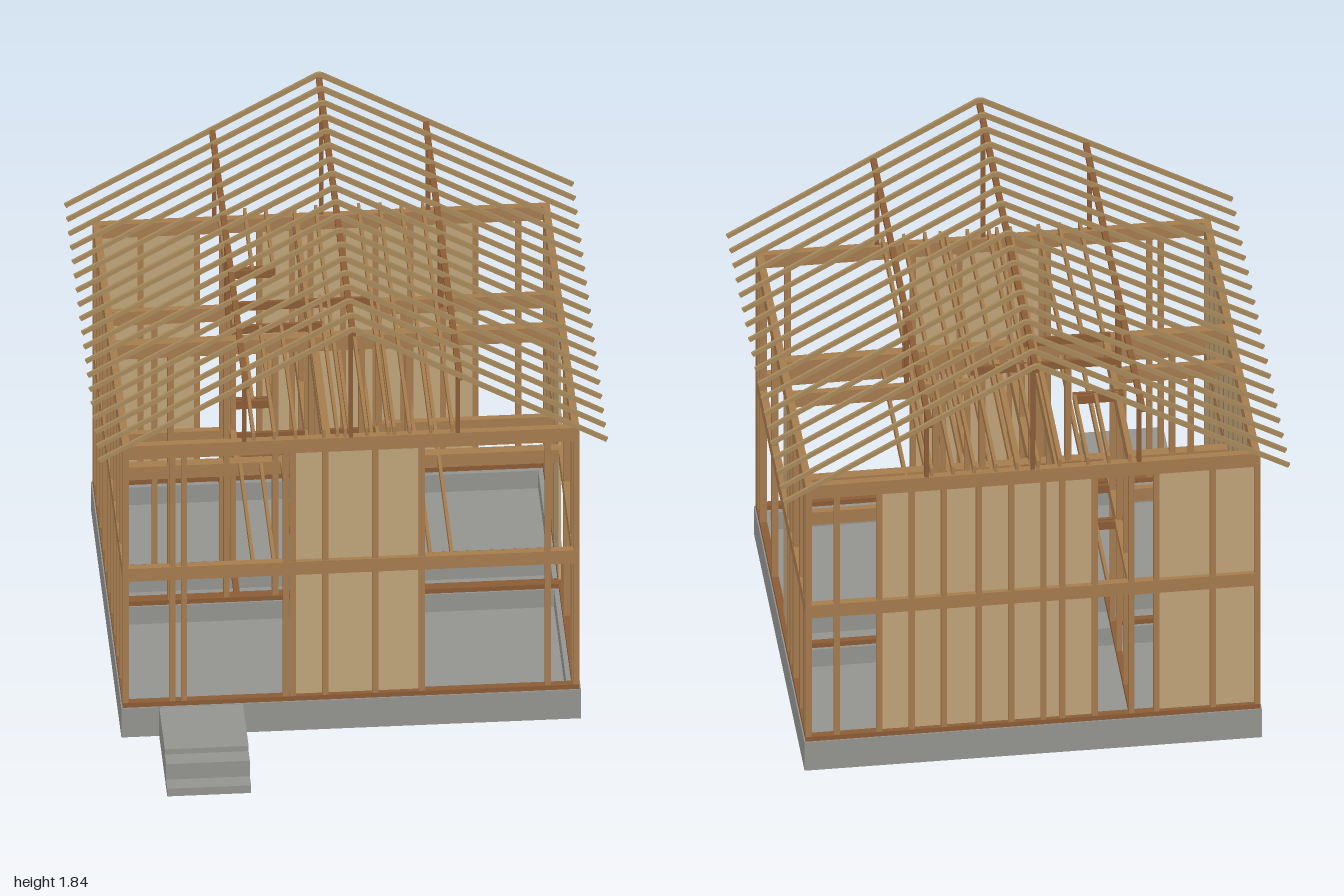
import * as THREE from 'three';

const mat = (color) => new THREE.MeshStandardMaterial({ color });
const concrete = mat(0x949490), wood = mat(0xa67c4e), dark = mat(0x8c5c36), sheet = mat(0xc0a47a), pale = mat(0xa88a5c);

// Levels of the frame
const BASE = 0.128, SILL = 0.148, MID = [0.688, 0.745], TOP = [1.23, 1.29];
// Outer faces of the walls, wall thickness and stud width
const X = 0.845, BACK = -0.895, FRONT = 0.595, T = 0.027, W = 0.022;

function box(parent, name, material, x0, x1, y0, y1, z0, z1) {
  const mesh = new THREE.Mesh(new THREE.BoxGeometry(x1 - x0, y1 - y0, z1 - z0), material);
  mesh.position.set((x0 + x1) / 2, (y0 + y1) / 2, (z0 + z1) / 2);
  mesh.name = name;
  parent.add(mesh);
  return mesh;
}

// A framed wall: runs along 'x' or 'z' from a to b, filling c..d across it.
// inner is the side (c or d) on which the sheathing lies.
function wall(parent, name, axis, a, b, c, d, inner, studs, panels, topPlate = true) {
  const group = new THREE.Group();
  group.name = name;
  parent.add(group);
  const part = (label, material, s0, s1, y0, y1, t0 = c, t1 = d) => axis === 'x'
    ? box(group, label, material, s0, s1, y0, y1, t0, t1)
    : box(group, label, material, t0, t1, y0, y1, s0, s1);
  part('sillPlate', dark, a, b, BASE, SILL);
  part('middleBeam', wood, a, b, ...MID);
  if (topPlate) part('topBeam', wood, a, b, ...TOP);
  for (const s of studs) {
    part('lowerStud', wood, s - W / 2, s + W / 2, SILL, MID[0], c + 0.001, d - 0.001);
    part('upperStud', wood, s - W / 2, s + W / 2, MID[1], TOP[0], c + 0.001, d - 0.001);
  }
  const t0 = inner === c ? c + 0.002 : d - 0.010;
  for (const [p0, p1] of panels) {
    part('lowerPanel', sheet, p0, p1, SILL, MID[0], t0, t0 + 0.008);
    part('upperPanel', sheet, p0, p1, MID[1], TOP[0], t0, t0 + 0.008);
  }
}

function foundation(root) {
  const g = new THREE.Group();
  g.name = 'foundation';
  root.add(g);
  box(g, 'floorSlab', concrete, -0.85, 0.85, 0, 0.05, -0.9, 0.6);
  for (const s of [-1, 1]) {
    box(g, 'sideFooting', concrete, s * 0.825 - 0.025, s * 0.825 + 0.025, 0.05, BASE, -0.9, 0.6);
  }
  for (const z of [-0.875, -0.3, -0.09, 0.575]) {
    box(g, 'crossFooting', concrete, -0.8, 0.8, 0.05, BASE, z - 0.025, z + 0.025);
  }
  // Entrance steps
  box(g, 'landing', concrete, -0.71, -0.4, 0, 0.126, 0.6, 0.876);
  box(g, 'middleStep', concrete, -0.71, -0.4, 0, 0.103, 0.876, 0.94);
  box(g, 'lowerStep', concrete, -0.71, -0.4, 0, 0.034, 0.94, 1.0);
}

function walls(root) {
  const f = FRONT - T, k = BACK + T, e = X - W / 2;
  wall(root, 'frontWall', 'x', -X, X, f, FRONT, f,
    [-e, -0.66, -0.617, -0.24, -0.215, -0.095, 0.09, 0.262, 0.728, e],
    [[-0.215, 0.262]]);
  wall(root, 'backWall', 'x', -X, X, BACK, k, k,
    [-e, -0.67, -0.46, -0.367, -0.23, -0.11, -0.04, 0.08, 0.2, 0.33, 0.45, 0.57, 0.728, e],
    [[-e, -0.455], [-0.23, 0.575]]);
  wall(root, 'leftHandWall', 'z', k, f, X - T, X, X - T,
    [k + 0.01, -0.82, -0.7, -0.51, -0.42, -0.335, 0.13, 0.478, f - 0.01],
    [[-0.1, -0.335].sort((p, q) => p - q), [k, -0.7]]);
  const studs = [];
  for (let i = 0; i < 11; i++) studs.push(k + 0.01 + i * (f - k - 0.02) / 10);
  wall(root, 'rightHandWall', 'z', k, f, -X, -X + T, -X + T, studs, [[k, f]]);

  // Inner partitions
  const i = X - T;
  wall(root, 'mainPartition', 'x', -i, i, -0.109, -0.071, -0.109, [-0.617, -0.41, -0.23, -0.095, 0.09, 0.262], []);
  wall(root, 'rearPartitionA', 'x', -i, -0.38, -0.314, -0.29, -0.29, [-0.66, -0.41], []);
  wall(root, 'rearPartitionB', 'x', 0.16, i, -0.314, -0.29, -0.29, [0.17, 0.262], []);
  wall(root, 'stairPartition', 'z', k, -0.109, -0.381, -0.359, -0.381, [-0.7, -0.49, -0.3], []);
  wall(root, 'hallPartition', 'z', k, f, -0.107, -0.085, -0.107, [-0.6, -0.28, 0.2], []);
}

// Joists of one floor with the stair opening trimmed by headers
function joists(root, name, y0, y1) {
  const g = new THREE.Group();
  g.name = name;
  root.add(g);
  const w = 0.006, k = BACK + 0.005, f = FRONT - 0.005;
  const joist = (x, z0, z1) => box(g, 'joist', wood, x - w, x + w, y0, y1, z0, z1);
  for (let i = 0; i < 6; i++) joist(-0.02 + i * 0.079, k, f);
  for (const x of [-0.36, -0.283, -0.205]) {
    joist(x, k, -0.49);
    joist(x, -0.115, f);
  }
  joist(-0.1, k, f);
  joist(-0.05, -0.3, f);
  joist(0.16, -0.28, f);
  const header = (x0, x1, z) => box(g, 'header', dark, x0, x1, y0, y1, z - w, z + w);
  header(-0.385, -0.2, -0.482);
  header(-0.385, -0.2, -0.5);
  header(-0.385, 0.165, -0.272);
  header(-0.385, -0.05, -0.12);
}

function roof(root) {
  const g = new THREE.Group();
  g.name = 'roofFrame';
  root.add(g);
  // Beams along the length and the posts that carry them
  for (const x of [-0.395, 0, 0.395]) {
    const y = x ? 1.61 : 1.825;
    box(g, x ? 'purlin' : 'ridgeBeam', dark, x - 0.011, x + 0.011, y - 0.022, y, -0.993, 0.69);
    const posts = x ? [0.587, -0.24, -0.29, -0.885] : [0.587, -0.885];
    for (const z of posts) {
      box(g, 'roofPost', dark, x - 0.008, x + 0.008, TOP[1], y - 0.022, z - 0.008, z + 0.008);
    }
  }
  // Pairs of sloping rafters
  for (const s of [-1, 1]) {
    const shape = new THREE.Shape([[0, 1.826], [0, 1.844], [s * 0.012, 1.842], [s * 0.943, 1.306], [s * 0.935, 1.291]]
      .map(([x, y]) => new THREE.Vector2(x, y)));
    const geometry = new THREE.ExtrudeGeometry(shape, { depth: 0.011, bevelEnabled: false });
    for (let i = 0; i < 19; i++) {
      const rafter = new THREE.Mesh(geometry, pale);
      rafter.name = 'rafter';
      rafter.position.z = 0.685 - i * 0.0936;
      g.add(rafter);
    }
  }
}

export function createModel() {
  const root = new THREE.Group();
  root.name = 'timberFrameHouse';
  foundation(root);
  walls(root);
  joists(root, 'upperFloorJoists', 0.71, 0.744);
  joists(root, 'ceilingJoists', 1.29, 1.325);
  roof(root);
  return root;
}
